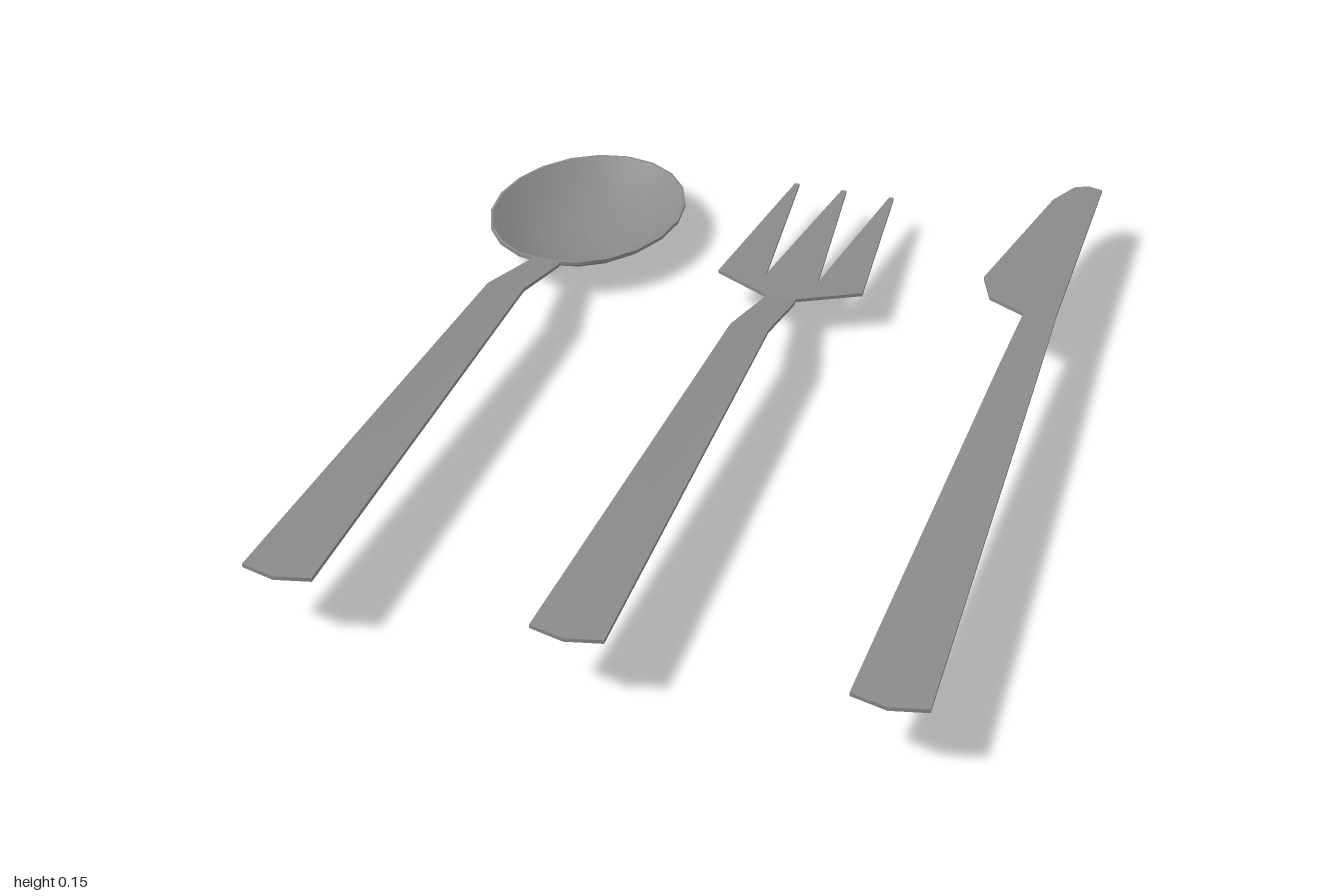
import * as THREE from 'three';
import { toCreasedNormals } from 'three/addons/utils/BufferGeometryUtils.js';

const THICK = 0.008;
const metal = new THREE.MeshStandardMaterial({ color: 0x8a8a8a });

function addMesh(parent, name, geometry) {
  const mesh = new THREE.Mesh(geometry, metal);
  mesh.name = name;
  parent.add(mesh);
}

// Thin tapered strip through stations [z, top y, half width], with a pointed front end
function stripGeometry(stations, point) {
  const n = stations.length - 1;
  const geo = new THREE.BoxGeometry(2, 1, n, 2, 1, n);
  const pos = geo.attributes.position;
  for (let i = 0; i < pos.count; i++) {
    const k = Math.round(pos.getZ(i) + n / 2);
    const side = Math.round(pos.getX(i));
    const [z, y, half] = stations[k];
    const tip = k === n && side === 0 ? point : 0;
    pos.setXYZ(i, side * half, pos.getY(i) > 0 ? y : y - THICK, z + tip);
  }
  return toCreasedNormals(geo, Math.PI / 6);
}

// Flat plate cut from an outline of [x, z] points
function plateGeometry(outline, top) {
  const shape = new THREE.Shape(outline.map(([x, z]) => new THREE.Vector2(x, -z)));
  const geo = new THREE.ExtrudeGeometry(shape, { depth: THICK, bevelEnabled: false });
  return geo.rotateX(-Math.PI / 2).translate(0, top - THICK, 0);
}

const END = [0.983, 0.145, 0.071];
const BEND = [-0.11, 0.153, 0.043];
const HEAD_Z = -0.353;
const HEAD_Y = 0.094;

function makePiece(name, x, headY) {
  const piece = new THREE.Group();
  piece.name = name;
  piece.position.x = x;
  const stations = [[HEAD_Z, headY, 0.035], [-0.336, headY, 0.036], BEND, END];
  addMesh(piece, name + 'Handle', stripGeometry(stations, 0.017));
  return piece;
}

function makeSpoon() {
  const spoon = makePiece('spoon', -0.5, HEAD_Y);
  const steps = [0, 0.25, 0.5, 0.68, 0.84, 1];
  const rim = 0.231, inner = 0.225, lip = HEAD_Y - THICK;
  const curve = t => lip * t ** 2.2;
  const profiles = {
    bowlOutside: steps.map(t => [rim * t, curve(t)]),
    bowlEdge: [[rim, lip], [rim, HEAD_Y]],
    bowlRim: [[rim, HEAD_Y], [inner, HEAD_Y]],
    bowlInside: steps.map(t => [inner * t, THICK + curve(t)]).reverse(),
  };
  for (const [name, points] of Object.entries(profiles)) {
    const geo = new THREE.LatheGeometry(points.map(p => new THREE.Vector2(...p)), 20);
    geo.scale(1, 1, 0.287 / rim).translate(0, 0, -0.628);
    addMesh(spoon, name, geo);
  }
  return spoon;
}

function makeFork() {
  const fork = makePiece('fork', 0.07, HEAD_Y);
  // Right half of the outline, from neck to the middle tine, then mirrored
  const half = [
    [0.035, HEAD_Z], [0.172, -0.427], [0.126, -0.905], [0.115, -0.905],
    [0.062, -0.443], [0.006, -0.905],
  ];
  const mirrored = half.map(([x, z]) => [-x, z]).reverse();
  addMesh(fork, 'forkTines', plateGeometry([...half, ...mirrored], HEAD_Y));
  return fork;
}

function makeKnife() {
  const knife = makePiece('knife', 0.658, BEND[1]);
  const outline = [
    [0.035, HEAD_Z], [0.031, -0.99], [-0.003, -1], [-0.035, -0.984],
    [-0.072, -0.905], [-0.151, -0.485], [-0.12, -0.4], [-0.035, HEAD_Z],
  ];
  addMesh(knife, 'knifeBlade', plateGeometry(outline, BEND[1]));
  return knife;
}

export function createModel() {
  const cutlery = new THREE.Group();
  cutlery.name = 'cutlerySet';
  cutlery.add(makeSpoon(), makeFork(), makeKnife());
  return cutlery;
}
